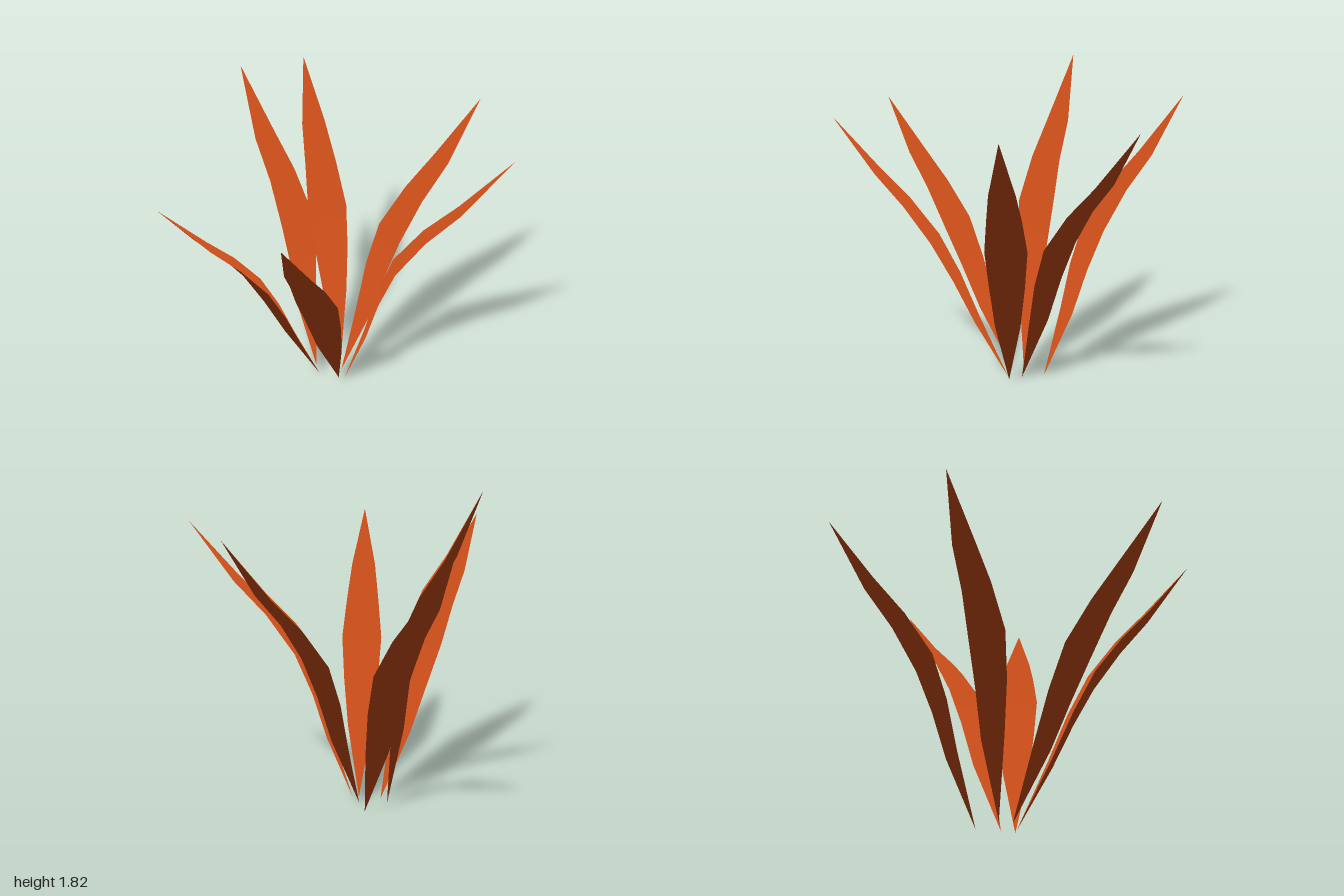
import * as THREE from 'three';

const material = new THREE.MeshStandardMaterial({ color: 0xcd4e19, side: THREE.DoubleSide });

// Rows of a leaf: height fraction, half width, share of the outward bend, share of the ridge lift
const ROWS = [
  [0, 0, 0, 0],
  [0.24, 0.072, 0.4, 0.6],
  [0.405, 0.1, 0.8, 0.9],
  [0.55, 0.117, 1, 1],
  [0.685, 0.094, 0.8, 0.9],
  [0.8, 0.07, 0.38, 0.7],
  [1, 0, 0, 0],
];

// A leaf blade from base to tip: left edge, raised midrib, right edge in each row
function leafGeometry(base, tip, bend) {
  const b = new THREE.Vector3(...base);
  const t = new THREE.Vector3(...tip);
  const out = new THREE.Vector3(t.x - b.x, 0, t.z - b.z);
  const reach = out.length();
  out.normalize();
  const side = new THREE.Vector3(out.z, 0, -out.x);
  const pos = [], nor = [], index = [];

  ROWS.forEach(([f, w, curve, lift], i) => {
    const r = reach * f - bend * curve;
    const y = b.y + (t.y - b.y) * f;
    for (const s of [-1, 0, 1]) {
      const ridge = s === 0 ? lift : 0;
      const p = b.clone().addScaledVector(out, r - 0.035 * ridge).addScaledVector(side, s * w);
      pos.push(p.x, y + 0.025 * ridge, p.z);
      // foliage-style normals: upward, leaning in at the foot and out at the tip
      const n = new THREE.Vector3(0, 1, 0).addScaledVector(out, 0.03 * (y - 0.87)).normalize();
      nor.push(n.x, n.y, n.z);
    }
    if (i === 0) return;
    for (const c of [0, 1]) {
      const a = (i - 1) * 3 + c, d = i * 3 + c;
      if (i > 1) index.push(a, a + 1, d);
      if (i < ROWS.length - 1) index.push(a + 1, d + 1, d);
    }
  });

  const geo = new THREE.BufferGeometry();
  geo.setAttribute('position', new THREE.Float32BufferAttribute(pos, 3));
  geo.setAttribute('normal', new THREE.Float32BufferAttribute(nor, 3));
  geo.setIndex(index);
  return geo;
}

export function createModel() {
  const plant = new THREE.Group();
  plant.name = 'leafTuft';

  // name, base, tip, bend
  const leaves = [
    ['frontLeaf', [-0.11, 0.01, 0.02], [-0.155, 1.56, 1.0], 0.11],
    ['frontRightLeaf', [-0.235, 0.01, 0.0], [-0.835, 1.56, 0.77], 0.11],
    ['backRightLeaf', [-0.27, 0.01, -0.07], [-0.73, 1.83, -0.36], 0.17],
    ['backLeaf', [-0.14, 0.01, -0.19], [-0.535, 1.62, -1.0], 0.178],
    ['backLeftLeaf', [-0.11, 0.01, -0.06], [0.58, 1.62, -0.645], 0.178],
    ['leftLeaf', [-0.075, 0.01, 0.015], [0.83, 1.62, 0.05], 0.178],
  ];
  for (const [name, base, tip, bend] of leaves) {
    const leaf = new THREE.Mesh(leafGeometry(base, tip, bend), material);
    leaf.name = name;
    plant.add(leaf);
  }
  return plant;
}
